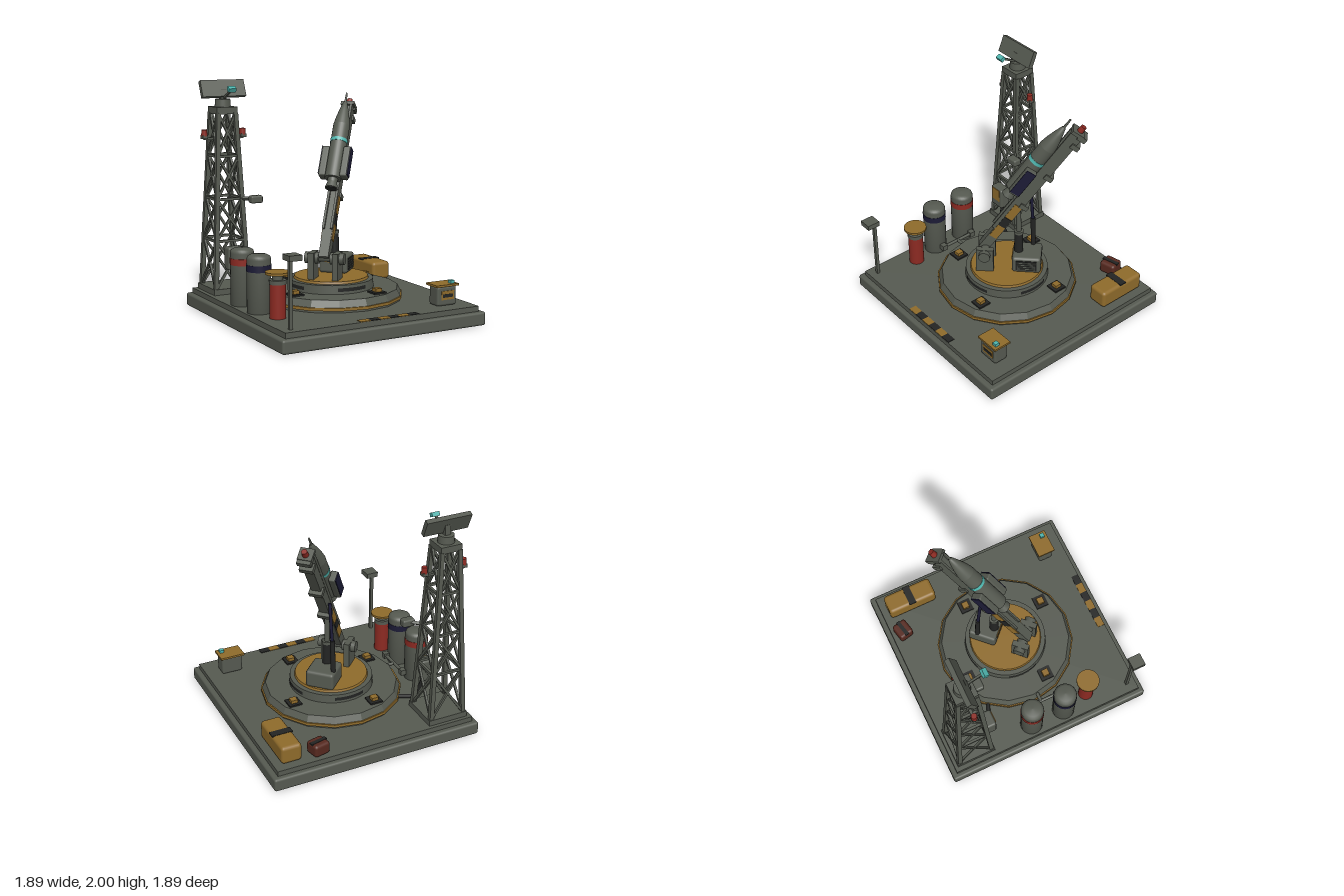
import * as THREE from 'three';
import { RoundedBoxGeometry } from 'three/addons/geometries/RoundedBoxGeometry.js';

const mat = (name, color) => Object.assign(new THREE.MeshStandardMaterial({ color }), { name });

export function createModel() {
  const grey = mat('olive grey', 0x565a51), yellow = mat('ochre', 0x8f6b2b), red = mat('red', 0x8c2a22);
  const maroon = mat('maroon', 0x57291f), black = mat('black', 0x232423), navy = mat('navy', 0x1c1b36);
  const teal = mat('teal', 0x4fb5ae);
  const root = new THREE.Group();
  root.name = 'launchSite';

  // helpers: every part is placed by its centre
  const add = (parent, name, geo, m, x, y, z) => {
    const mesh = new THREE.Mesh(geo, m);
    mesh.name = name;
    mesh.position.set(x, y, z);
    parent.add(mesh);
    return mesh;
  };
  const box = (p, name, m, w, h, d, x, y, z) => add(p, name, new THREE.BoxGeometry(w, h, d), m, x, y, z);
  const rbox = (p, name, m, w, h, d, x, y, z, r = 0.02) => add(p, name, new RoundedBoxGeometry(w, h, d, 2, r), m, x, y, z);
  const cyl = (p, name, m, rt, rb, h, x, y, z, n = 24) => add(p, name, new THREE.CylinderGeometry(rt, rb, h, n), m, x, y, z);
  const facets = (p, name, m, rt, rb, h, y) => {
    const g = new THREE.CylinderGeometry(rt, rb, h, 16).toNonIndexed();
    g.computeVertexNormals();
    return add(p, name, g, m, 0, y, 0);
  };
  const group = (parent, name, x = 0, y = 0, z = 0) => {
    const g = new THREE.Group();
    g.name = name;
    g.position.set(x, y, z);
    parent.add(g);
    return g;
  };
  // straight bar between two points, square or round
  const bar = (p, name, m, a, b, t, round = false) => {
    const A = new THREE.Vector3(...a), B = new THREE.Vector3(...b), d = B.clone().sub(A), L = d.length();
    const g = round ? new THREE.CylinderGeometry(t / 2, t / 2, L, 14) : new THREE.BoxGeometry(t, L, t);
    const c = A.add(B).multiplyScalar(0.5);
    const mesh = add(p, name, g, m, c.x, c.y, c.z);
    mesh.quaternion.setFromUnitVectors(new THREE.Vector3(0, 1, 0), d.normalize());
    return mesh;
  };

  // base slab and deck
  rbox(root, 'baseSlab', grey, 1.89, 0.115, 1.89, 0, 0.0575, 0);
  box(root, 'deck', grey, 1.8, 0.06, 1.8, 0, 0.13, 0);
  for (let i = 0; i < 6; i++)
    box(root, 'hazardStripe', i % 2 ? black : yellow, 0.091, 0.006, 0.065, -0.185 + i * 0.091, 0.162, 0.865);

  // launch pad and turntable
  facets(root, 'padBase', grey, 0.6, 0.6, 0.03, 0.172);
  facets(root, 'padRing', yellow, 0.615, 0.615, 0.025, 0.19);
  facets(root, 'pad', grey, 0.575, 0.605, 0.06, 0.23);
  cyl(root, 'turntable', grey, 0.36, 0.365, 0.075, 0, 0.297, 0, 40);
  cyl(root, 'turntableDisc', yellow, 0.313, 0.32, 0.02, 0, 0.345, 0, 40);
  for (let i = 0; i < 4; i++)
    add(root, 'turntableMark', new THREE.CylinderGeometry(0.367, 0.367, 0.03, 10, 1, true, i * Math.PI / 2 - 0.35, 0.75), black, 0, 0.297, 0);
  for (const [x, z] of [[-0.19, -0.45], [0.445, -0.19], [0.19, 0.445], [-0.445, 0.185]]) {
    box(root, 'clampPlate', black, 0.115, 0.015, 0.115, x, 0.266, z);
    box(root, 'clampBlock', yellow, 0.058, 0.03, 0.058, x, 0.287, z);
  }

  // launcher: local +x points the way the rail leans
  const launcher = group(root, 'launcher');
  launcher.rotation.y = Math.PI / 4;
  for (const s of [-1, 1]) {
    box(launcher, 'pivotBracket', grey, 0.15, 0.23, 0.05, -0.18, 0.465, s * 0.105);
    cyl(launcher, 'pivotHub', grey, 0.05, 0.05, 0.12, -0.18, 0.53, s * 0.11, 16).rotation.x = Math.PI / 2;
  }
  cyl(launcher, 'pivotPin', grey, 0.03, 0.03, 0.28, -0.18, 0.53, 0, 16).rotation.x = Math.PI / 2;

  // control cabin with vent grille
  rbox(launcher, 'controlCabin', grey, 0.25, 0.155, 0.25, 0.18, 0.43, 0, 0.025);
  box(launcher, 'cabinGrille', black, 0.18, 0.1, 0.008, 0.18, 0.432, 0.126);
  for (let i = 0; i < 4; i++) box(launcher, 'grilleSlat', grey, 0.16, 0.008, 0.006, 0.18, 0.4 + i * 0.021, 0.131);
  box(launcher, 'cabinPanel', yellow, 0.008, 0.045, 0.14, 0.054, 0.47, 0);

  // lifting ram and strut
  cyl(launcher, 'ramSleeve', black, 0.038, 0.04, 0.24, 0.105, 0.6, 0);
  cyl(launcher, 'ramCollar', grey, 0.042, 0.042, 0.025, 0.105, 0.71, 0);
  bar(launcher, 'ramRod', grey, [0.105, 0.7, 0], [0.1, 1.0, 0], 0.045, true);
  bar(launcher, 'strut', navy, [0.22, 0.75, -0.09], [0.2, 1.14, -0.06], 0.028, true);
  bar(launcher, 'strutSleeve', black, [0.225, 0.5, -0.1], [0.22, 0.8, -0.09], 0.042, true);

  // rail: local x runs along it, y away from its face
  const rail = group(launcher, 'rail', -0.2, 0.54, 0);
  rail.rotation.z = 57 * Math.PI / 180;
  box(rail, 'railBeam', grey, 1.46, 0.085, 0.085, 0.72, 0, 0);
  for (const s of [-1, 1]) {
    box(rail, 'railGuide', grey, 1.2, 0.03, 0.02, 0.84, 0.05, s * 0.035);
    for (const [c, len, m] of [[0.225, 0.14, yellow], [0.345, 0.1, black], [0.48, 0.16, yellow]])
      box(rail, 'railStripe', m, len, 0.07, 0.008, c, 0, s * 0.045);
  }
  for (const x of [0.58, 0.95, 1.33, 1.43]) box(rail, 'railClamp', grey, 0.045, 0.075, 0.115, x, -0.04, 0);
  box(rail, 'railCap', grey, 0.03, 0.11, 0.12, 1.445, 0.01, 0);
  const lamp = (p, x, y, z) => cyl(p, 'warningLamp', red, 0.024, 0.027, 0.055, x, y, z, 16);
  lamp(rail, 1.485, 0, 0).rotation.z = -Math.PI / 2;

  // rocket: a lathe turned to lie along the rail
  const rocket = group(rail, 'rocket', 0, 0.126, 0);
  rocket.rotation.z = -Math.PI / 2;
  const turn = (name, m, pts) => add(rocket, name, new THREE.LatheGeometry(pts.map(p => new THREE.Vector2(...p)), 28), m, 0, 0, 0);
  cyl(rocket, 'rocketBody', grey, 0.072, 0.072, 0.51, 0, 0.925, 0, 28);
  turn('noseCone', grey, [[0.072, 1.18], [0.06, 1.25], [0.041, 1.33], [0.018, 1.41], [0, 1.415]]);
  cyl(rocket, 'noseProbe', grey, 0.008, 0.011, 0.1, 0, 1.455, 0, 10);
  cyl(rocket, 'rocketBand', teal, 0.075, 0.075, 0.03, 0, 1.025, 0, 28);
  cyl(rocket, 'engineCollar', grey, 0.045, 0.04, 0.04, 0, 0.655, 0);
  cyl(rocket, 'engineNozzle', grey, 0.04, 0.056, 0.06, 0, 0.61, 0);
  cyl(rocket, 'nozzleMouth', black, 0.045, 0.045, 0.004, 0, 0.579, 0);
  for (const s of [-1, 1]) {
    rbox(rail, 'sidePod', grey, 0.28, 0.1, 0.06, 0.82, 0.126, s * 0.093, 0.012);
    box(rail, 'podPanel', navy, 0.26, 0.085, 0.008, 0.83, 0.126, s * 0.125);
    box(rail, 'rocketSaddle', grey, 0.05, 0.06, 0.06, s > 0 ? 0.72 : 1.1, 0.06, 0);
  }

  // lattice tower
  const tower = group(root, 'tower', -0.68, 0, -0.69);
  box(tower, 'towerFoot', grey, 0.36, 0.05, 0.36, 0, 0.185, 0);
  const levels = [0.2, 0.62, 0.98, 1.35, 1.72];
  const half = y => 0.153 - (y - 0.2) / 1.52 * 0.073;
  const corner = (i, y) => {
    const a = Math.PI / 4 + i * Math.PI / 2, r = half(y) * Math.SQRT2;
    return [Math.cos(a) * r, y, Math.sin(a) * r];
  };
  for (let i = 0; i < 4; i++) {
    bar(tower, 'towerLeg', grey, corner(i, 0.2), corner(i, 1.72), 0.038);
    levels.forEach((y, k) => {
      if (k) {
        bar(tower, 'towerRung', grey, corner(i, y), corner(i + 1, y), 0.022);
        bar(tower, 'towerBrace', grey, corner(i, levels[k - 1]), corner(i + 1, y), 0.02);
        bar(tower, 'towerBrace', grey, corner(i + 1, levels[k - 1]), corner(i, y), 0.02);
      }
    });
  }
  box(tower, 'towerTop', grey, 0.19, 0.05, 0.19, 0, 1.745, 0);
  cyl(tower, 'radarBearing', grey, 0.065, 0.07, 0.07, 0, 1.8, 0);
  for (const s of [-1, 1]) {
    box(tower, 'lampArm', grey, 0.1, 0.02, 0.025, s * 0.135, 1.5, 0.01);
    box(tower, 'lampHolder', grey, 0.05, 0.03, 0.05, s * 0.18, 1.515, 0.01);
    lamp(tower, s * 0.18, 1.55, 0.01);
  }

  // radar panel with feed
  const radar = group(tower, 'radar', 0, 1.922, 0);
  const panel = box(radar, 'radarPanel', grey, 0.405, 0.15, 0.042, 0, 0, 0);
  panel.rotation.x = -0.4;
  bar(radar, 'radarStem', grey, [0, -0.1, 0], [0, 0, 0], 0.05);
  bar(radar, 'feedArm', grey, [0, -0.075, 0.04], [0, 0, 0.18], 0.018);
  box(radar, 'feedHorn', teal, 0.068, 0.036, 0.042, 0, 0.005, 0.19).rotation.x = 0.5;

  // equipment boxes and cable on the tower
  rbox(tower, 'towerCabinet', grey, 0.15, 0.2, 0.1, 0, 0.48, 0.2);
  box(tower, 'cabinetPanel', yellow, 0.1, 0.12, 0.008, 0, 0.51, 0.25);
  rbox(tower, 'sensorBox', grey, 0.11, 0.065, 0.075, 0.205, 0.977, 0.21, 0.015);
  bar(tower, 'sensorArm', grey, [0.11, 0.98, 0.12], [0.2, 0.98, 0.2], 0.025);
  const cable = new THREE.CatmullRomCurve3([[0.03, 0.4, 0.2], [0.05, 0.3, 0.22], [0.08, 0.2, 0.24], [0.22, 0.19, 0.3]].map(p => new THREE.Vector3(...p)));
  add(tower, 'cable', new THREE.TubeGeometry(cable, 16, 0.018, 8), black, 0, 0, 0);

  // storage tanks and manifold
  for (const [z, m] of [[-0.115, red], [0.2, navy]]) {
    const prof = [[0, 0.16], [0.1, 0.16], [0.1, 0.6], [0.093, 0.622], [0.07, 0.636], [0, 0.642]].map(p => new THREE.Vector2(...p));
    add(root, 'storageTank', new THREE.LatheGeometry(prof, 28), grey, -0.78, 0, z);
    cyl(root, 'tankBand', m, 0.103, 0.103, 0.055, -0.78, 0.53, z, 28);
    box(root, 'valveBlock', grey, 0.05, 0.05, 0.05, -0.65, 0.235, z);
    bar(root, 'tankPipe', grey, [-0.7, 0.235, z], [-0.65, 0.235, z], 0.025, true);
  }
  bar(root, 'manifoldPipe', grey, [-0.65, 0.235, -0.115], [-0.65, 0.235, 0.2], 0.028, true);
  bar(root, 'feedPipe', grey, [-0.65, 0.235, 0.042], [-0.57, 0.235, 0.042], 0.03, true);

  // red canister with wide cap
  const canister = group(root, 'canister', -0.735, 0, 0.447);
  cyl(canister, 'canisterBody', red, 0.066, 0.066, 0.28, 0, 0.3, 0);
  cyl(canister, 'canisterCollar', grey, 0.07, 0.07, 0.035, 0, 0.455, 0);
  cyl(canister, 'canisterNeck', grey, 0.045, 0.045, 0.055, 0, 0.495, 0);
  cyl(canister, 'canisterCap', yellow, 0.1, 0.1, 0.02, 0, 0.527, 0, 32);

  // lamp post
  box(root, 'post', grey, 0.028, 0.56, 0.028, -0.815, 0.44, 0.82);
  box(root, 'postHead', grey, 0.11, 0.045, 0.115, -0.815, 0.73, 0.857);

  // generator
  const gen = group(root, 'generator', 0.675, 0, 0.7);
  rbox(gen, 'generatorBody', grey, 0.19, 0.165, 0.13, 0, 0.243, 0);
  box(gen, 'generatorLid', yellow, 0.22, 0.018, 0.16, 0, 0.332, -0.004);
  box(gen, 'generatorPanel', yellow, 0.125, 0.075, 0.008, 0.005, 0.25, 0.066);
  box(gen, 'generatorSlot', black, 0.1, 0.028, 0.006, 0.005, 0.247, 0.07);
  box(gen, 'generatorLight', teal, 0.038, 0.028, 0.038, 0.065, 0.352, 0.03);

  // fuel bladder and crate
  rbox(root, 'fuelBladder', yellow, 0.18, 0.16, 0.45, 0.745, 0.24, -0.613, 0.03);
  box(root, 'bladderStrap', black, 0.183, 0.012, 0.065, 0.745, 0.317, -0.615);
  const crate = group(root, 'crate', 0.495, 0, -0.795);
  crate.rotation.y = 0.22;
  rbox(crate, 'crateBody', maroon, 0.15, 0.11, 0.135, 0, 0.215, 0, 0.025);
  box(crate, 'crateStrap', black, 0.153, 0.012, 0.035, 0, 0.267, 0);
  return root;
}
